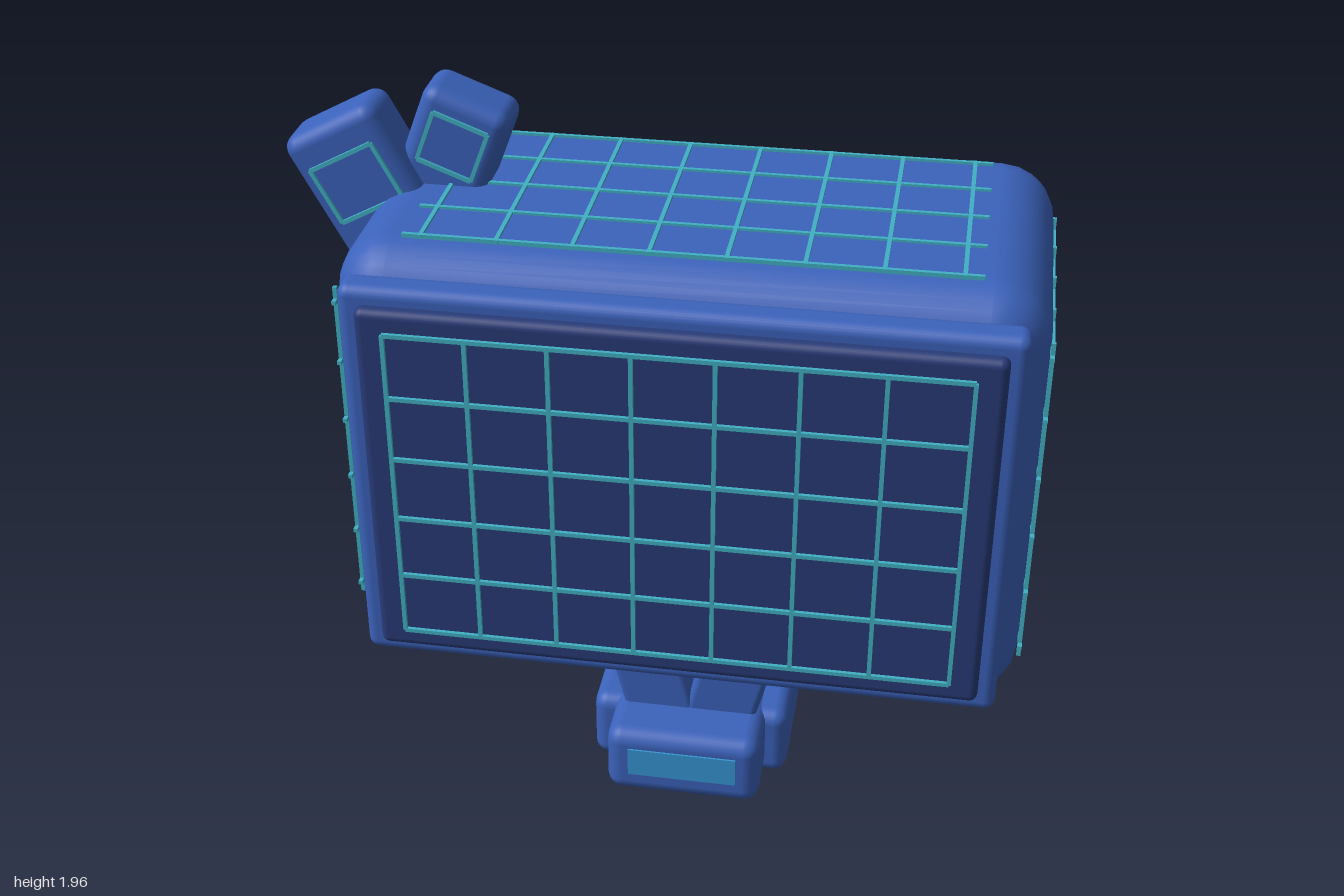
import * as THREE from 'three';
import { RoundedBoxGeometry } from 'three/addons/geometries/RoundedBoxGeometry.js';

function material(name, color) {
  const m = new THREE.MeshStandardMaterial({ color });
  m.name = name;
  return m;
}

export function createModel() {
  const blue = material('casing blue', 0x3b62bb);
  const navy = material('screen navy', 0x283b78);
  const teal = material('grid teal', 0x40b0c4);
  const sky = material('light blue', 0x3796d6);
  const model = new THREE.Group();
  model.name = 'monitor';

  const add = (parent, name, geometry, mat, x, y, z, rotZ = 0) => {
    const mesh = new THREE.Mesh(geometry, mat);
    mesh.name = name;
    mesh.position.set(x, y, z);
    mesh.rotation.z = rotZ;
    parent.add(mesh);
    return mesh;
  };
  // Rounded box given by its minimum and maximum corners
  const block = (name, mat, a, b, r, seg = 3) => add(model, name,
    new RoundedBoxGeometry(b[0] - a[0], b[1] - a[1], b[2] - a[2], seg, r), mat,
    (a[0] + b[0]) / 2, (a[1] + b[1]) / 2, (a[2] + b[2]) / 2);

  // Grid of thin bars in the local XY plane, w by h, with overhanging ends
  const T = 0.011;
  const grid = (parent, name, w, h, nx, ny, overX = 0, overY = 0) => {
    const g = new THREE.Group();
    g.name = name;
    for (let i = 0; i <= nx; i++)
      add(g, 'gridBar', new THREE.BoxGeometry(T, h + 2 * overY, T), teal, -w / 2 + (w * i) / nx, 0, 0);
    for (let j = 0; j <= ny; j++)
      add(g, 'gridBar', new THREE.BoxGeometry(w + 2 * overX, T, T), teal, 0, -h / 2 + (h * j) / ny, 0);
    parent.add(g);
    return g;
  };

  // Casing, bezel, screen and bottom plate
  block('casing', blue, [-0.79, 0.487, -0.517], [0.985, 1.703, 0.415], 0.15);
  block('bezel', blue, [-0.74, 0.547, 0.38], [0.935, 1.645, 0.472], 0.03);
  block('screen', navy, [-0.69, 0.595, 0.42], [0.888, 1.6, 0.503], 0.022);
  block('bottomPlate', blue, [-0.4, 0.474, -0.37], [0.6, 0.5, 0.285], 0.005, 1);

  // Grids on the screen, top and both sides
  grid(model, 'screenGrid', 1.43, 0.885, 7, 5).position.set(0.098, 1.097, 0.507);
  const top = grid(model, 'topGrid', 1.335, 0.665, 7, 4, 0.047, 0.007);
  top.rotation.x = -Math.PI / 2;
  top.position.set(0.098, 1.704, -0.047);
  for (const x of [-0.793, 0.988]) {
    const side = grid(model, 'sideGrid', 0.7, 0.86, 4, 5, 0.022, 0.037);
    side.rotation.y = Math.PI / 2;
    side.position.set(x, 1.092, -0.037);
  }

  // Two tilted blocks on the corner, each with a framed front
  const ears = [
    { name: 'outerEar', w: 0.28, h: 0.66, x: -0.736, y: 1.577, z: -0.057, tilt: 28, fw: 0.19, fh: 0.16, fy: 0.155 },
    { name: 'innerEar', w: 0.24, h: 0.44, x: -0.594, y: 1.728, z: -0.105, tilt: -21, fw: 0.15, fh: 0.14, fy: 0.09 },
  ];
  for (const e of ears) {
    const ear = new THREE.Group();
    ear.name = e.name;
    ear.position.set(e.x, e.y, e.z);
    ear.rotation.z = THREE.MathUtils.degToRad(e.tilt);
    add(ear, 'earBlock', new RoundedBoxGeometry(e.w, e.h, 0.173, 3, 0.04), blue, 0, 0, 0);
    grid(ear, 'earFrame', e.fw, e.fh, 1, 1).position.set(0, e.fy, 0.089);
    model.add(ear);
  }

  // Splayed legs with a brow bar in front and a streak on the outside
  for (const s of [-1, 1]) {
    const leg = new THREE.Group();
    leg.name = s > 0 ? 'leftLeg' : 'rightLeg';
    leg.position.set(0.097 + s * 0.12, 0.35, -0.035);
    leg.rotation.z = -s * 0.245;
    add(leg, 'legBlock', new RoundedBoxGeometry(0.197, 0.46, 0.45, 2, 0.02), blue, 0, 0, 0);
    const streak = add(leg, 'legStreak', new THREE.CapsuleGeometry(0.02, 0.09, 3, 8), teal, s * 0.098, 0.07, -0.015);
    streak.scale.x = 0.4;
    model.add(leg);
    add(model, 'browBar', new THREE.BoxGeometry(0.12, 0.022, 0.012), sky,
      0.097 + s * 0.118, 0.383, 0.196, -s * 0.23);
  }

  // Crossed foot blocks and the front light panel
  block('footLong', blue, [-0.12, 0.015, -0.25], [0.313, 0.228, 0.335], 0.045);
  block('footWide', blue, [-0.185, 0.003, -0.21], [0.375, 0.218, 0.175], 0.04);
  add(model, 'footLight', new THREE.BoxGeometry(0.305, 0.088, 0.008), sky, 0.097, 0.133, 0.336);

  return model;
}
